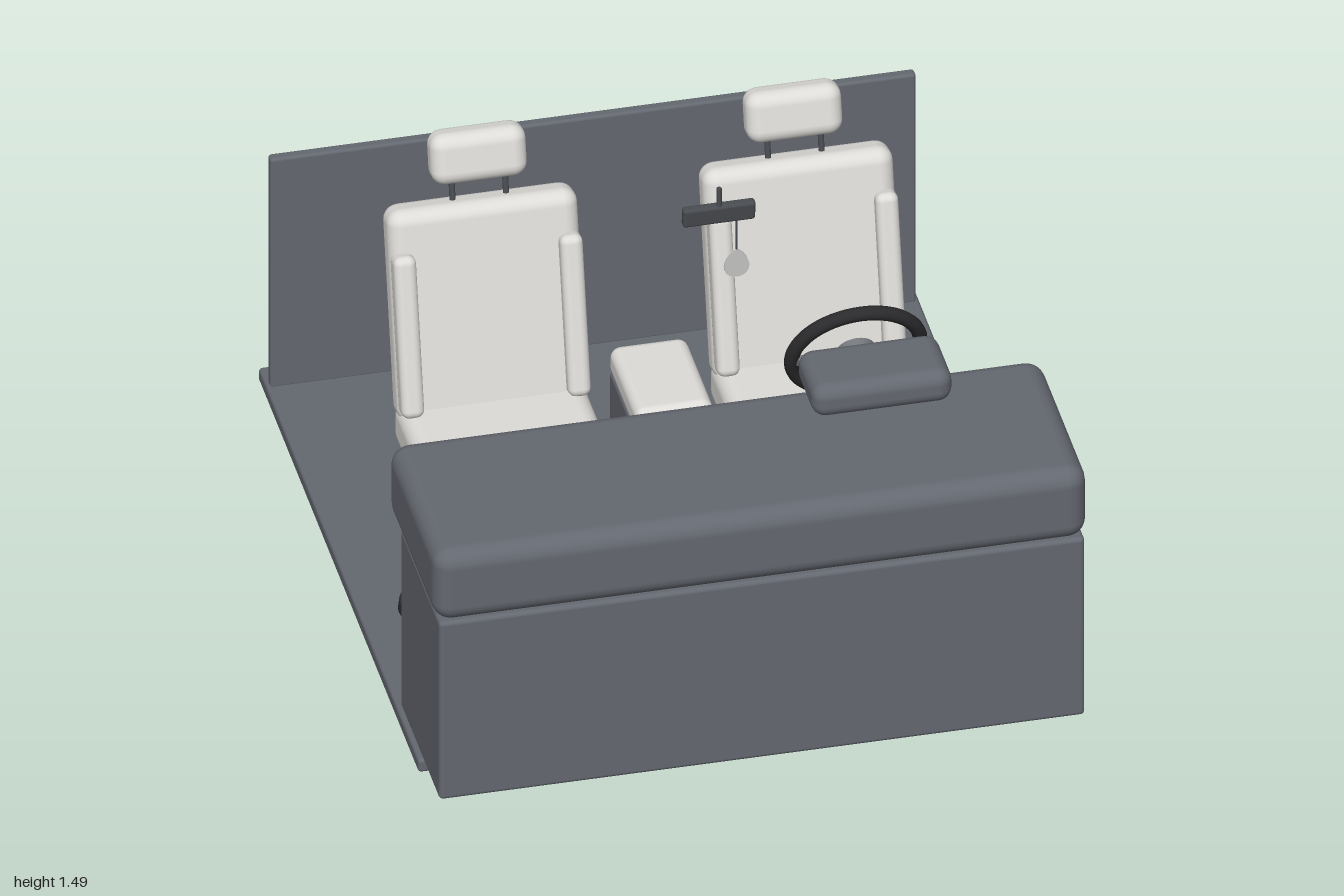
import * as THREE from 'three';
import { RoundedBoxGeometry } from 'three/addons/geometries/RoundedBoxGeometry.js';

const mat = (name, color) => Object.assign(new THREE.MeshStandardMaterial({ color }), { name });

export function createModel() {
  const body = mat('slate grey panel', 0x646870);
  const seatMat = mat('pale upholstery', 0xdedcd8);
  const dark = mat('black rubber', 0x2b2b2d);
  const mid = mat('dark grey trim', 0x484b50);
  const metal = mat('grey metal', 0x74777c);
  const charm = mat('light grey charm', 0xc4c4c2);

  const model = new THREE.Group();
  model.name = 'vehicleCabin';

  const add = (parent, name, geo, material, x = 0, y = 0, z = 0, rx = 0) => {
    const m = new THREE.Mesh(geo, material);
    m.name = name;
    m.position.set(x, y, z);
    m.rotation.x = rx;
    parent.add(m);
    return m;
  };
  const group = (parent, name, x = 0, y = 0, z = 0, rx = 0) => {
    const g = new THREE.Group();
    g.name = name;
    g.position.set(x, y, z);
    g.rotation.x = rx;
    parent.add(g);
    return g;
  };
  // Rounded box given by its min and max on each axis
  const box = (parent, name, material, [x0, x1], [y0, y1], [z0, z1], r = 0.01) =>
    add(parent, name, new RoundedBoxGeometry(x1 - x0, y1 - y0, z1 - z0, 3, r), material,
      (x0 + x1) / 2, (y0 + y1) / 2, (z0 + z1) / 2);
  const cyl = (rTop, rBottom, h, n = 28) => new THREE.CylinderGeometry(rTop, rBottom, h, n);

  // Floor, rear partition and dashboard
  box(model, 'floor', body, [-0.855, 0.855], [0, 0.04], [-1, 0.805], 0.01);
  box(model, 'rearPartition', body, [-0.845, 0.845], [0.035, 0.745], [-0.935, -0.905], 0.008);
  box(model, 'dashLower', body, [-0.845, 0.845], [0.045, 0.595], [0.558, 1], 0.012);
  box(model, 'dashUpper', body, [-0.855, 0.855], [0.585, 0.8], [0.457, 1], 0.05);
  box(model, 'instrumentHood', body, [0.225, 0.592], [0.79, 0.887], [0.41, 0.615], 0.038);
  box(model, 'gloveBoxHandle', dark, [-0.575, -0.245], [0.622, 0.638], [0.449, 0.465], 0.004);

  // Round air vents at both ends of the dash
  for (const s of [-1, 1]) {
    add(model, 'roundVent', cyl(0.036, 0.036, 0.04), dark, s * 0.777, 0.685, 0.445, Math.PI / 2);
    add(model, 'ventRing', new THREE.TorusGeometry(0.03, 0.006, 8, 28), mid, s * 0.777, 0.685, 0.425);
  }

  // Gauges behind the steering wheel
  for (const x of [0.32, 0.5]) {
    add(model, 'gaugeRing', cyl(0.052, 0.052, 0.045), metal, x, 0.733, 0.44, Math.PI / 2);
    add(model, 'gaugeFace', cyl(0.043, 0.043, 0.004), dark, x, 0.733, 0.417, Math.PI / 2);
  }

  // Centre stack, console and tunnel
  box(model, 'centreStack', body, [-0.12, 0.12], [0.16, 0.677], [0.397, 0.48], 0.012);
  box(model, 'floorTunnel', body, [-0.1, 0.1], [0.04, 0.135], [0.38, 0.57], 0.01);
  box(model, 'console', body, [-0.1, 0.1], [0.04, 0.39], [-0.295, 0.4], 0.012);
  box(model, 'consoleArmrest', seatMat, [-0.102, 0.102], [0.385, 0.468], [-0.297, 0.02], 0.028);
  box(model, 'radioScreen', dark, [-0.085, 0.085], [0.54, 0.622], [0.382, 0.4], 0.006);
  for (const s of [-1, 1]) {
    box(model, 'centreVent', dark, [s * 0.065 - 0.056, s * 0.065 + 0.056], [0.638, 0.674], [0.37, 0.4], 0.008);
    add(model, 'cupHolder', cyl(0.033, 0.033, 0.006), dark, s * 0.045, 0.391, 0.105);
  }

  // Gear lever
  add(model, 'gearBoot', cyl(0.018, 0.04, 0.05), dark, 0, 0.412, 0.31);
  add(model, 'gearStick', cyl(0.009, 0.011, 0.12, 16), metal, 0, 0.47, 0.31);
  add(model, 'gearKnob', new THREE.SphereGeometry(0.034, 24, 16), dark, 0, 0.535, 0.308);

  // Seats, one on each side
  for (const s of [-1, 1]) {
    const seat = group(model, s > 0 ? 'driverSeat' : 'passengerSeat', s * 0.413);
    box(seat, 'seatBase', body, [-0.195, 0.195], [0.045, 0.26], [-0.29, 0.092], 0.008);
    box(seat, 'seatCushion', seatMat, [-0.248, 0.248], [0.243, 0.382], [-0.33, 0.152], 0.045);
    const back = group(seat, 'seatBackrest', 0, 0.36, -0.285, -0.23);
    box(back, 'backrest', seatMat, [-0.25, 0.25], [-0.03, 0.555], [-0.053, 0.053], 0.04);
    for (const t of [-1, 1]) {
      box(seat, 'seatRail', dark, [t * 0.16 - 0.02, t * 0.16 + 0.02], [0.038, 0.062], [-0.33, 0.11], 0.006);
      box(back, 'sideBolster', seatMat, [t * 0.218 - 0.03, t * 0.218 + 0.03], [0, 0.445], [0.02, 0.088], 0.022);
      add(back, 'headrestPost', cyl(0.008, 0.008, 0.13, 12), mid, t * 0.07, 0.59, 0);
    }
    box(back, 'headrest', seatMat, [-0.126, 0.126], [0.605, 0.745], [-0.047, 0.047], 0.038);

    // Ribbed floor mat
    const mat0 = group(model, 'floorMat', s * 0.413, 0.04, 0.28);
    box(mat0, 'matSheet', dark, [-0.195, 0.195], [0, 0.01], [-0.19, 0.18], 0.004);
    for (let i = 0; i < 6; i++) {
      const z = -0.13 + i * 0.055;
      box(mat0, 'matRib', dark, [-0.17, 0.17], [0.005, 0.016], [z - 0.009, z + 0.009], 0.004);
    }
  }

  // Steering wheel and column
  const wheel = group(model, 'steeringWheel', 0.412, 0.757, 0.278, 0.38);
  add(wheel, 'wheelRim', new THREE.TorusGeometry(0.168, 0.019, 14, 56), dark);
  add(wheel, 'wheelHub', cyl(0.05, 0.05, 0.04), metal, 0, 0, 0.015, Math.PI / 2);
  add(wheel, 'hornButton', cyl(0.03, 0.03, 0.012), mid, 0, 0, -0.009, Math.PI / 2);
  for (const a of [0, Math.PI, -Math.PI / 2]) {
    const spoke = add(wheel, 'wheelSpoke', new RoundedBoxGeometry(0.13, 0.032, 0.016, 2, 0.006),
      metal, Math.cos(a) * 0.1, Math.sin(a) * 0.1, 0.008);
    spoke.rotation.z = a;
  }
  add(wheel, 'steeringColumn', cyl(0.036, 0.03, 0.2), body, 0, 0, 0.12, Math.PI / 2);
  for (const s of [-1, 1]) {
    const stalk = add(wheel, 'columnStalk', cyl(0.008, 0.006, 0.1, 12), dark, s * 0.075, 0.01, 0.09);
    stalk.rotation.z = Math.PI / 2;
  }

  // Pedals
  for (const x of [0.31, 0.41, 0.51]) {
    const arm = new THREE.LineCurve3(new THREE.Vector3(x, 0.31, 0.57), new THREE.Vector3(x, 0.19, 0.492));
    add(model, 'pedalArm', new THREE.TubeGeometry(arm, 1, 0.009, 10), metal);
    add(model, 'pedalPad', new RoundedBoxGeometry(0.06, 0.125, 0.018, 2, 0.007), dark, x, 0.205, 0.477, -0.5);
  }

  // Waste bin
  const bin = group(model, 'wasteBin', -0.735, 0.04, 0.425);
  add(bin, 'binBody', cyl(0.074, 0.06, 0.2, 36), body, 0, 0.1, 0);
  add(bin, 'binLid', cyl(0.08, 0.083, 0.028, 36), dark, 0, 0.212, 0);
  add(bin, 'binLidRing', new THREE.TorusGeometry(0.045, 0.008, 8, 32), dark, 0, 0.227, 0, Math.PI / 2);

  // Rear-view mirror with hanging charm
  const mirror = group(model, 'rearViewMirror', 0, 1.405, 0.507);
  add(mirror, 'mirrorHousing', new RoundedBoxGeometry(0.19, 0.058, 0.026, 3, 0.009), mid, 0, 0, 0, 0.12);
  add(mirror, 'mirrorStem', cyl(0.007, 0.007, 0.06, 12), mid, 0, 0.05, 0.006);
  add(mirror, 'charmString', cyl(0.0022, 0.0022, 0.11, 6), mid, 0.047, -0.07, 0);
  const drop = new THREE.Shape();
  drop.moveTo(0, 0.042);
  drop.bezierCurveTo(0.012, 0.04, 0.033, 0.012, 0.033, -0.01);
  drop.bezierCurveTo(0.033, -0.053, -0.033, -0.053, -0.033, -0.01);
  drop.bezierCurveTo(-0.033, 0.012, -0.012, 0.04, 0, 0.042);
  add(mirror, 'charm', new THREE.ExtrudeGeometry(drop, { depth: 0.005, bevelEnabled: false, curveSegments: 14 }),
    charm, 0.047, -0.162, -0.0025);

  return model;
}
